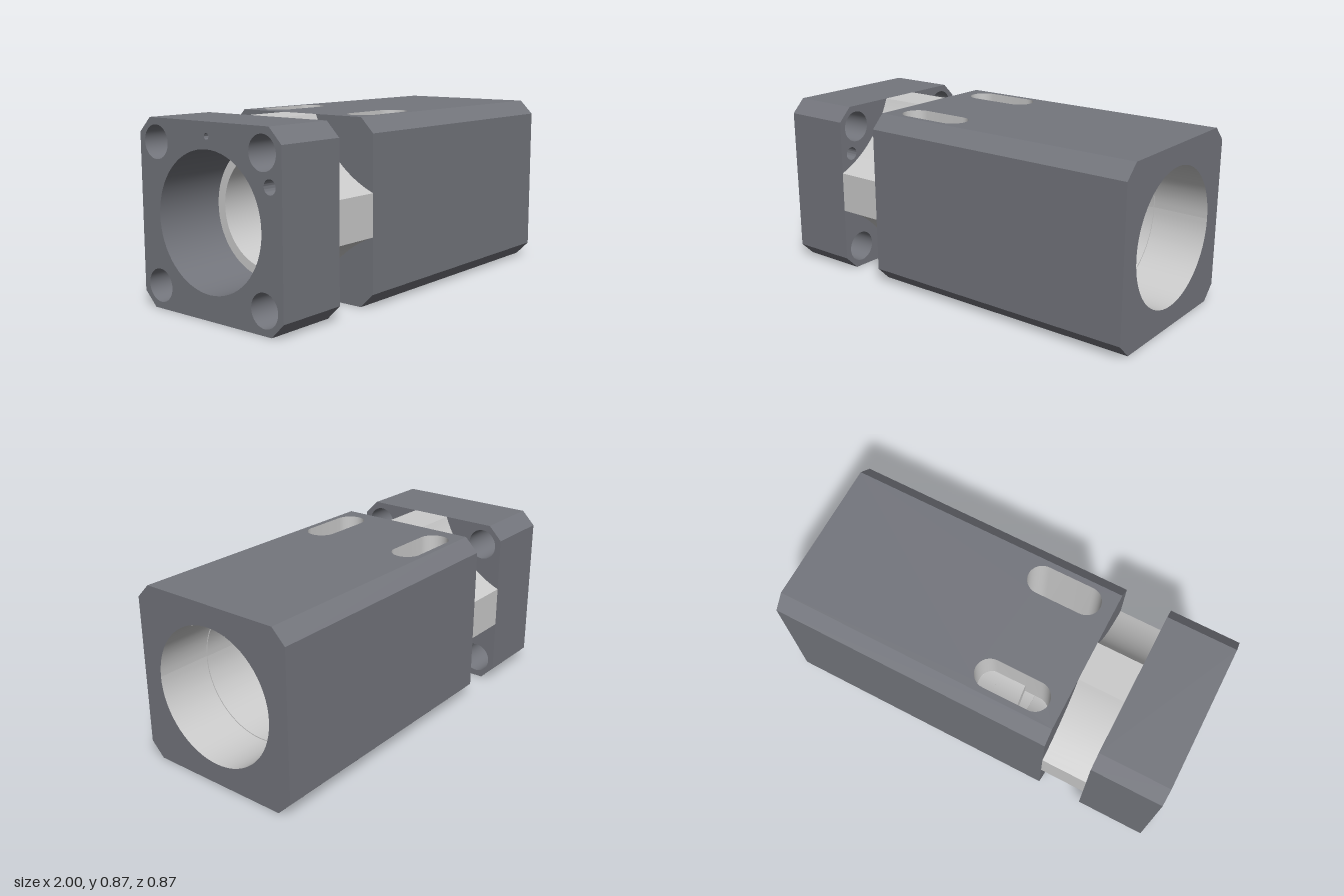
import * as THREE from 'three';
import { toCreasedNormals } from 'three/addons/utils/BufferGeometryUtils.js';

const H = 0.4325, F = 0.364;            // half width, half flat (chamfered corners)
const X0 = -1, X1 = -0.65, X2 = -0.42, X3 = 1;
const R_REAR = 0.315, R_NECK = 0.27, R_BORE = 0.325, R_MOUTH = 0.33;
const STEP = -0.2, MOUTH = 0.72;
const SLOT = { x0: -0.355, x1: 0.02, z: 0.263, r: 0.073 };

const dark = new THREE.MeshStandardMaterial({ color: 0x74767d, side: THREE.DoubleSide });
const light = new THREE.MeshStandardMaterial({ color: 0xcccccc, side: THREE.DoubleSide });

function octagon() {
  return new THREE.Shape([[H, F], [F, H], [-F, H], [-H, F], [-H, -F], [-F, -H], [F, -H], [H, -F]]
    .map(p => new THREE.Vector2(...p)));
}

function addHole(shape, u, v, r) {
  shape.holes.push(new THREE.Path().absarc(u, v, r, 0, Math.PI * 2, true));
}

// Extrude a cross-section along x
function section(shape, x0, x1) {
  const g = new THREE.ExtrudeGeometry(shape, { depth: x1 - x0, bevelEnabled: false, curveSegments: 32 });
  return g.rotateY(Math.PI / 2).translate(x0, 0, 0);
}

// Skin a list of equally long point rows
function skin(rows) {
  const pos = [], idx = [], n = rows[0].length;
  rows.forEach(row => row.forEach(p => pos.push(...p)));
  for (let i = 0; i < rows.length - 1; i++) {
    for (let j = 0; j < n - 1; j++) {
      const a = i * n + j, b = a + n;
      idx.push(a, b, a + 1, b, b + 1, a + 1);
    }
  }
  const g = new THREE.BufferGeometry();
  g.setAttribute('position', new THREE.Float32BufferAttribute(pos, 3));
  g.setIndex(idx);
  return toCreasedNormals(g, 0.5);
}

// Outline of one slot in (x, z)
function slotOutline(side) {
  const { x0, x1, z, r } = SLOT, pts = [];
  for (let k = 0; k <= 16; k++) {
    const a = -Math.PI / 2 + Math.PI * k / 16;
    pts.push([x1 - r + r * Math.cos(a), side * (z + r * Math.sin(a))]);
  }
  for (let k = 0; k <= 16; k++) {
    const a = Math.PI / 2 + Math.PI * k / 16;
    pts.push([x0 + r + r * Math.cos(a), side * (z + r * Math.sin(a))]);
  }
  return pts;
}

// Inner z edge of the slot at a given x
function slotEdge(x) {
  const { x0, x1, z, r } = SLOT;
  const d = Math.max(x0 + r - x, x - (x1 - r), 0);
  return z - Math.sqrt(Math.max(r * r - d * d, 0));
}

export function createModel() {
  const group = new THREE.Group();
  const add = (name, geo, mat) => {
    const m = new THREE.Mesh(geo, mat);
    m.name = name;
    group.add(m);
    return m;
  };

  // Rear mounting flange with bore, four bolt holes and two pin holes
  const flange = octagon();
  addHole(flange, 0, 0, R_REAR);
  for (const u of [-1, 1]) for (const v of [-1, 1]) addHole(flange, u * 0.325, v * 0.325, 0.077);
  addHole(flange, -0.365, 0.19, 0.033);
  addHole(flange, 0, 0.37, 0.014);
  add('mountingFlange', toCreasedNormals(section(flange, X0, X1), 0.5), dark);

  // Neck with a concave scoop at each corner for bolt access
  const neckPts = [], half = 0.1;
  const mid = (H + half) / 2, sag = 0.05, c = (H - half) / Math.SQRT2;
  const R = (c * c + sag * sag) / (2 * sag), centre = mid + (R - sag) / Math.SQRT2;
  const sweep = Math.asin(c / R);
  for (let q = 0; q < 4; q++) {
    for (let k = 0; k <= 16; k++) {
      const a = Math.PI * 1.25 + sweep * (1 - k / 8);
      const p = new THREE.Vector2(centre + R * Math.cos(a), centre + R * Math.sin(a));
      neckPts.push(p.rotateAround(new THREE.Vector2(), q * Math.PI / 2));
    }
  }
  const neck = new THREE.Shape(neckPts);
  addHole(neck, 0, 0, R_NECK);
  add('scoopedNeck', toCreasedNormals(section(neck, X1, X2), 0.5), light);

  // Main body end faces
  for (const [x, r, name] of [[X2, R_NECK, 'bodyRearFace'], [X3, R_MOUTH, 'bodyEndFace']]) {
    const face = octagon();
    addHole(face, 0, 0, r);
    add(name, new THREE.ShapeGeometry(face, 32).rotateY(Math.PI / 2).translate(x, 0, 0), dark);
  }

  // Main body sides and chamfers
  for (const s of [-1, 1]) {
    const edge = [[H, s * F], [F, s * H]];
    const line = x => [[x, -F, s * H], [x, F, s * H]];
    add('bodySide', skin([line(X2), line(X3)]), dark);
    for (const t of [-1, 1]) {
      const row = x => edge.map(([y, z]) => [x, t * y, z]).map(([a, y, z]) => [a, y, z]);
      const corner = x => [[x, t * F, s * H], [x, t * H, s * F]];
      add('bodyChamfer', skin([corner(X2), corner(X3)]), dark);
    }
  }

  // Top and bottom walls pierced by the two slots
  for (const t of [-1, 1]) {
    const wall = new THREE.Shape([[X2, -F], [X3, -F], [X3, F], [X2, F]].map(p => new THREE.Vector2(...p)));
    for (const s of [-1, 1]) {
      wall.holes.push(new THREE.Path(slotOutline(s).map(p => new THREE.Vector2(...p))));
    }
    const g = new THREE.ShapeGeometry(wall).rotateX(-t * Math.PI / 2).translate(0, t * H, 0);
    add(t > 0 ? 'bodyTop' : 'bodyBottom', g, dark);
  }

  // Slot walls, from the outer face down to the bore
  for (const s of [-1, 1]) for (const t of [-1, 1]) {
    const pts = [];
    const outline = slotOutline(s);
    outline.push(outline[0]);
    outline.forEach(([x, z], i) => {
      pts.push([x, z]);
      const next = outline[i + 1];
      if (next && (x - STEP) * (next[0] - STEP) < 0) pts.push([STEP + 1e-4 * Math.sign(x - STEP), z], [STEP - 1e-4 * Math.sign(x - STEP), z]);
    });
    const floor = ([x, z]) => {
      const r = x > STEP ? R_BORE : R_NECK;
      return [x, t * Math.sqrt(Math.max(r * r - z * z, 0)), z];
    };
    add('slotWall', skin([pts.map(([x, z]) => [x, t * H, z]), pts.map(floor)]), light);
  }

  // Stepped bore, opened where the slots break through
  const stations = [[X2, R_NECK, 0], [SLOT.x0, R_NECK, 0]];
  for (let k = 0; k <= 32; k++) {
    const x = SLOT.x0 + (SLOT.x1 - SLOT.x0) * (1 - Math.cos(Math.PI * k / 32)) / 2;
    const prev = stations[stations.length - 1];
    if (prev[0] < STEP && x >= STEP) stations.push([STEP, R_NECK, 1], [STEP, R_BORE, 1]);
    stations.push([x, x < STEP ? R_NECK : R_BORE, 1]);
  }
  stations.push([SLOT.x1, R_BORE, 0], [MOUTH, R_BORE, 0], [MOUTH, R_MOUTH, 0], [X3, R_MOUTH, 0]);
  for (const t of [-1, 1]) {
    const rows = stations.map(([x, r, open]) => {
      const a0 = open ? Math.acos(Math.min(slotEdge(x) / r, 1)) : 0;
      return Array.from({ length: 41 }, (_, j) => {
        const a = a0 + (Math.PI - 2 * a0) * j / 40;
        return [x, t * r * Math.sin(a), r * Math.cos(a)];
      });
    });
    add('bore', skin(rows), light);
  }

  // Shoulder ring inside the bore
  add('boreShoulder', new THREE.RingGeometry(R_NECK, R_BORE, 64).rotateY(Math.PI / 2).translate(STEP + 0.001, 0, 0), light);

  group.position.y = H;
  const root = new THREE.Group();
  root.name = 'housing';
  group.name = 'housingBody';
  root.add(group);
  return root;
}
